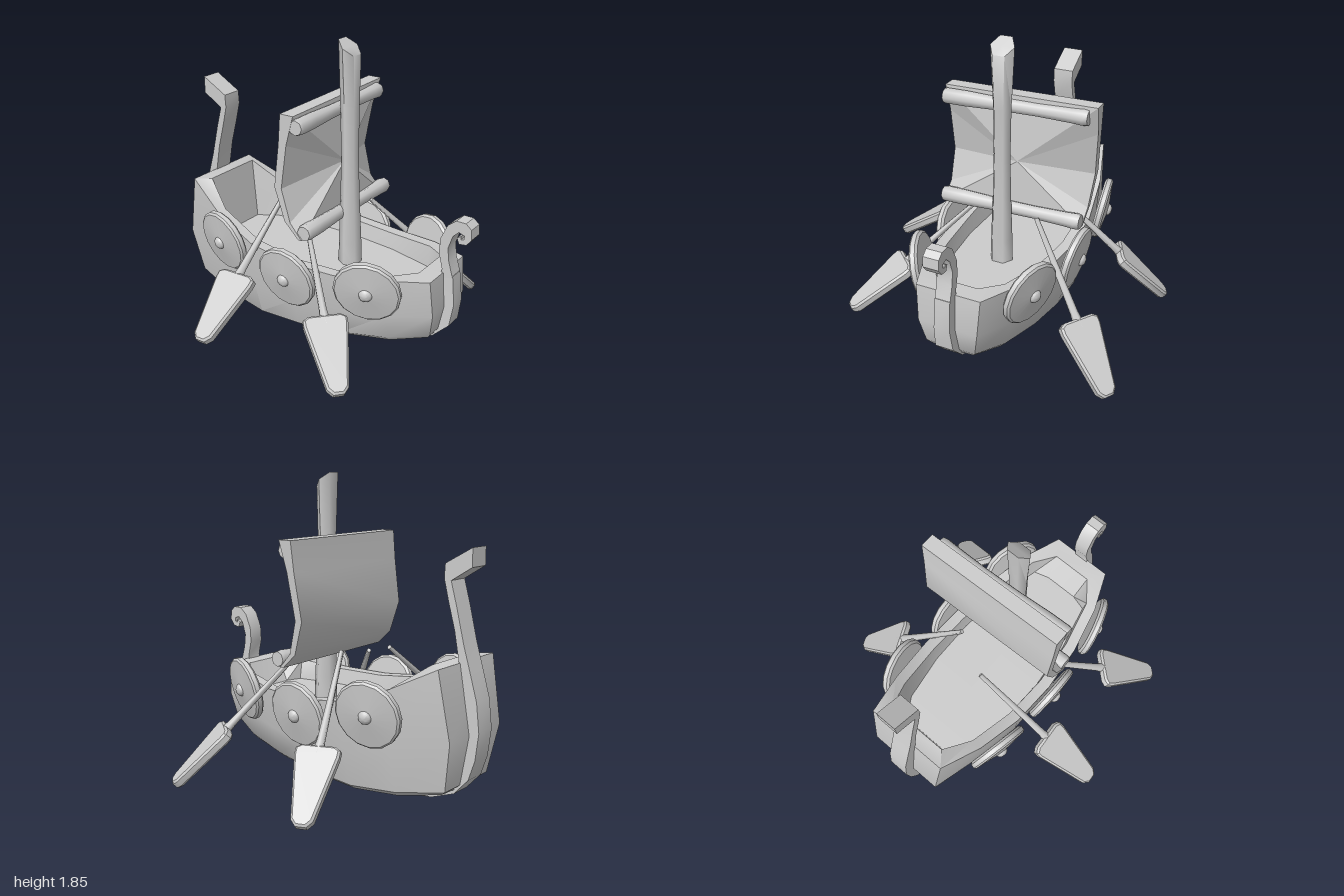
import * as THREE from 'three';
import { toCreasedNormals } from 'three/addons/utils/BufferGeometryUtils.js';

const CX = 0.03; // centreline of the boat
const material = new THREE.MeshStandardMaterial({ color: 0xcccccc });
const flatMaterial = new THREE.MeshStandardMaterial({ color: 0xcccccc, flatShading: true });
const thinMaterial = new THREE.MeshStandardMaterial({ color: 0xcccccc, side: THREE.DoubleSide });

function add(parent, name, geometry, mat = material) {
  const mesh = new THREE.Mesh(geometry, mat);
  mesh.name = name;
  parent.add(mesh);
  return mesh;
}

// Skin between rows of points; each row may close on itself.
function skin(rows, closed) {
  const out = [];
  for (let r = 0; r + 1 < rows.length; r++) {
    const a = rows[r], b = rows[r + 1], n = a.length;
    for (let i = 0; i < (closed ? n : n - 1); i++) {
      const j = (i + 1) % n;
      out.push(...a[i], ...a[j], ...b[j], ...a[i], ...b[j], ...b[i]);
    }
  }
  return fromTriangles(out);
}

function fromTriangles(numbers) {
  const geometry = new THREE.BufferGeometry();
  geometry.setAttribute('position', new THREE.Float32BufferAttribute(numbers, 3));
  geometry.computeVertexNormals();
  return geometry;
}

// Turned part from [radius, height] pairs.
function turned(profile, sides, phase = 0, crease = 1.1) {
  const points = profile.map(([r, y]) => new THREE.Vector2(r, y));
  return toCreasedNormals(new THREE.LatheGeometry(points, sides, phase), crease);
}

function bend(geometry, crease, rule) {
  const p = geometry.attributes.position, v = new THREE.Vector3();
  for (let i = 0; i < p.count; i++) {
    rule(v.fromBufferAttribute(p, i));
    p.setXYZ(i, v.x, v.y, v.z);
  }
  return toCreasedNormals(geometry, crease);
}

// Outline in the z-y plane, given thickness across x.
function sidePlate(outline, width) {
  const shape = new THREE.Shape(outline.map(([z, y]) => new THREE.Vector2(z, y)));
  const geometry = new THREE.ExtrudeGeometry(shape, { depth: width, bevelEnabled: false });
  return geometry.translate(0, 0, -width / 2).rotateY(-Math.PI / 2);
}

function hull() {
  // half width, z, sheer height, bottom height, end bulge, bottom shift, rim inset, floor inset
  const stations = [
    [0.20, 0.84, 0.61, 0.21, 0.02, -0.03, -0.11, -0.21],
    [0.30, 0.60, 0.59, 0.15, 0, 0, 0, 0],
    [0.37, 0.30, 0.56, 0.105, 0, 0, 0, 0],
    [0.40, 0.00, 0.56, 0.07, 0, 0, 0, 0],
    [0.395, -0.30, 0.60, 0.05, 0, 0, 0, 0],
    [0.35, -0.60, 0.71, 0.075, 0, 0, 0, 0],
    [0.27, -0.87, 0.85, 0.13, -0.07, 0.02, 0.09, 0.14],
  ];
  const levels = [
    ([w, z, t, b, m, s]) => [0, b - 0.01, z + s],
    ([w, z, t, b, m, s]) => [w * 0.68, b, z + s],
    ([w, z, t, b, m, s]) => [w * 0.78, b + 0.03, z + s * 0.5 + m * 0.4],
    ([w, z, t, b, m]) => [w * 0.93, b + (t - b) * 0.45, z + m],
    ([w, z, t]) => [w, t, z],
    ([w, z, t, b, m, s, r]) => [w - 0.07, t, z + r],
    ([w, z, t, b, m, s, r, f]) => [w - 0.09, 0.46, z + f],
    ([w, z, t, b, m, s, r, f]) => [0, 0.46, z + f],
  ];
  const rows = levels.map((level) => {
    const side = stations.map(level);
    return [...side, ...side.map(([x, y, z]) => [-x, y, z]).reverse()];
  });
  return toCreasedNormals(skin(rows, true), 0.6);
}

function sail(parent) {
  // height, left x, right x, front z, back z; the low-x edge sits a little further forward
  const rows = [
    [1.49, -0.39, 0.56, 0.03, -0.06], [1.31, -0.39, 0.55, -0.02, -0.075],
    [1.04, -0.39, 0.53, -0.06, -0.11], [0.84, -0.39, 0.515, 0.0, -0.04],
    [0.75, -0.395, 0.51, 0.085, 0.06],
  ];
  const twist = 0.03;
  const lf = rows.map(([y, l, r, f]) => [l, y, f + twist]), rf = rows.map(([y, l, r, f]) => [r, y, f]);
  const lb = rows.map(([y, l, r, f, b]) => [l, y, b + twist]), rb = rows.map(([y, l, r, f, b]) => [r, y, b]);
  const columns = [lf, lb, rb, rf].map((column) => column.slice().reverse());
  add(parent, 'sailBack', toCreasedNormals(skin(columns, false), 0.9), thinMaterial);
  // front fan meeting at a raised middle point, plus top and bottom edges
  const rim = [...lf, ...rf.slice().reverse()], centre = [0.09, 1.09, 0.08], tri = [];
  rim.forEach((p, i) => tri.push(...centre, ...p, ...rim[(i + 1) % rim.length]));
  const e = rows.length - 1;
  tri.push(...lf[0], ...rf[0], ...rb[0], ...lf[0], ...rb[0], ...lb[0]);
  tri.push(...lf[e], ...rb[e], ...rf[e], ...lf[e], ...lb[e], ...rb[e]);
  add(parent, 'sailFront', fromTriangles(tri), flatMaterial);
}

function oar(parent, from, to) {
  const a = new THREE.Vector3(...from), d = new THREE.Vector3(...to).sub(a);
  const length = d.length(), group = new THREE.Group();
  group.name = 'oar';
  d.normalize();
  const across = new THREE.Vector3().crossVectors(d, new THREE.Vector3(0, 1, 0)).normalize();
  const basis = new THREE.Matrix4().makeBasis(across, d, new THREE.Vector3().crossVectors(across, d));
  group.quaternion.setFromRotationMatrix(basis);
  group.position.copy(a);
  const s = length - 0.45;
  add(group, 'oarHandle', turned([[0, 0], [0.014, 0], [0.024, s - 0.05], [0.03, s], [0.03, s + 0.04], [0, s + 0.04]], 6));
  const half = [[0.09, s], [0.115, s + 0.015], [0.115, s + 0.05], [0.05, length - 0.04], [0.025, length - 0.012]];
  const outline = [...half, ...half.map(([x, y]) => [-x, y]).reverse()];
  const blade = new THREE.ExtrudeGeometry(new THREE.Shape(outline.map(([x, y]) => new THREE.Vector2(x, y))),
    { depth: 0.035, bevelThickness: 0.012, bevelSize: 0.012, bevelSegments: 1 });
  add(group, 'oarBlade', toCreasedNormals(blade.translate(0, 0, -0.0175), 0.6));
  parent.add(group);
}

export function createModel() {
  const model = new THREE.Group();
  model.name = 'sailingBoat';

  add(model, 'hull', hull()).position.x = CX;

  // keel running up into the stern post and its blocky head
  const keel = sidePlate([
    [0.90, 0.60], [0.92, 0.42], [0.90, 0.28], [0.80, 0.18], [0.60, 0.12], [0.30, 0.06], [0.10, 0.035], [-0.10, 0.03],
    [-0.30, 0.005], [-0.50, 0.01], [-0.70, 0.04], [-0.85, 0.10], [-0.94, 0.20], [-0.98, 0.32], [-1.0, 0.48],
    [-0.98, 0.65], [-0.93, 0.82], [-0.89, 0.95], [-0.84, 1.15], [-0.80, 1.29], [-0.93, 1.37], [-0.93, 1.475],
    [-0.76, 1.38], [-0.755, 1.30], [-0.785, 1.18], [-0.83, 1.02], [-0.86, 0.86], [-0.90, 0.65], [-0.90, 0.40],
    [-0.82, 0.17], [-0.60, 0.10], [-0.30, 0.09], [0, 0.11], [0.30, 0.14], [0.60, 0.19], [0.76, 0.26], [0.82, 0.35], [0.82, 0.60],
  ], 0.13);
  add(model, 'keelAndSternPost', bend(keel, 0.6, (v) => {
    if (v.z > 0.6) v.x *= 1 - 0.3 * THREE.MathUtils.clamp((v.y - 0.1) / 0.4, 0, 1);
  })).position.x = CX;

  // curled prow
  const prow = sidePlate([
    [0.90, 0.59], [0.87, 0.69], [0.86, 0.77], [0.885, 0.85], [0.92, 0.885], [0.955, 0.875], [0.955, 0.85],
    [0.935, 0.845], [0.935, 0.865], [0.91, 0.85], [0.925, 0.815], [0.97, 0.82], [1.0, 0.86], [0.995, 0.92],
    [0.96, 0.95], [0.90, 0.95], [0.85, 0.91], [0.81, 0.82], [0.805, 0.73], [0.83, 0.63], [0.82, 0.57],
  ], 0.095);
  add(model, 'prow', toCreasedNormals(prow, 0.6)).position.x = CX;

  // six-sided mast, leaning a little, cut at a slant
  const mast = turned([[0, 0.42], [0.075, 0.42], [0.072, 0.6], [0.06, 0.9], [0.054, 1.15], [0.058, 1.45],
    [0.075, 1.81], [0, 1.81]], 6, Math.PI / 2);
  add(model, 'mast', bend(mast, 1.1, (v) => {
    if (v.y > 1.7) v.y -= 0.65 * v.z;
    v.z = v.z * (v.y > 1.7 ? 0.8 : 0.95) + 0.17 - 0.015 * (v.y - 0.4);
  })).position.x = CX;

  // yards above and below the sail
  for (const [name, y, z, yaw] of [['upperYard', 1.425, 0.055, 0.04], ['lowerYard', 0.795, 0.115, 0.02]]) {
    const yard = add(model, name, turned([[0, -0.45], [0.044, -0.45], [0.05, -0.43], [0.05, -0.3], [0.042, -0.1],
      [0.04, 0.15], [0.046, 0.36], [0.05, 0.42], [0.045, 0.45], [0, 0.45]], 8).rotateZ(-Math.PI / 2));
    yard.position.set(0.062, y, z);
    yard.rotation.y = yaw;
  }

  const sailGroup = new THREE.Group();
  sailGroup.name = 'sail';
  sail(sailGroup);
  model.add(sailGroup);

  // three round shields along each side, slightly domed with a small boss
  const shield = turned([[0, -0.035], [0.185, -0.035], [0.2, -0.022], [0.2, 0.005], [0.188, 0.016],
    [0.04, 0.032], [0.034, 0.045], [0.018, 0.056], [0, 0.058]], 16, 0, 0.6).rotateZ(-Math.PI / 2);
  for (const side of [1, -1]) {
    for (const [x, y, z, yaw] of [[0.36, 0.52, 0.525, 0.33], [0.43, 0.475, 0, 0.0], [0.41, 0.565, -0.51, -0.2]]) {
      const mesh = add(model, side > 0 ? 'leftShield' : 'rightShield', shield);
      mesh.position.set(CX + side * x, y, z);
      mesh.rotation.set(0, side > 0 ? -yaw : Math.PI + yaw, -0.19, 'YXZ');
    }
  }

  // oars from handle end to blade tip
  oar(model, [0.26, 0.79, 0.17], [0.90, 0.02, 0.60]);
  oar(model, [0.23, 0.83, -0.14], [0.91, 0.06, -0.46]);
  oar(model, [-0.20, 0.74, 0.01], [-0.78, 0.14, 0.65]);
  oar(model, [-0.04, 0.83, -0.28], [-0.92, 0.22, -0.22]);

  return model;
}
